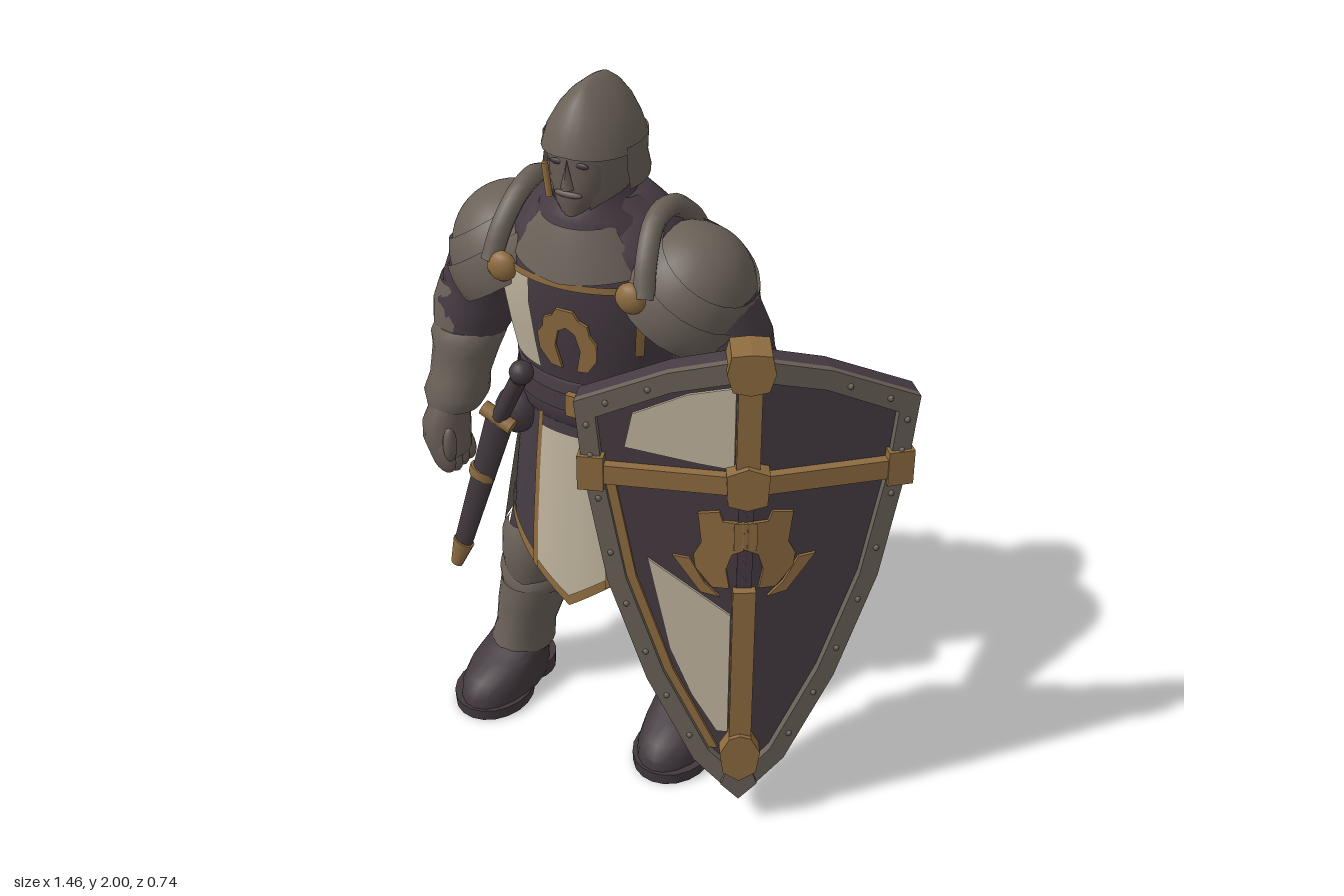
import * as THREE from 'three';
import { toCreasedNormals } from 'three/addons/utils/BufferGeometryUtils.js';

const paint = (name, color) => {
  const m = new THREE.MeshStandardMaterial({ color, side: THREE.DoubleSide });
  m.name = name;
  return m;
};
const steel = paint('steel', 0x6a6158);
const cloth = paint('purple cloth', 0x463b43);
const cream = paint('cream cloth', 0xbfb39d);
const brass = paint('brass', 0x8e6c40);
const skin = paint('skin', 0x665a53);
const leather = paint('dark leather', 0x42383d);
const CX = -0.2; // body centre line
const TAU = Math.PI * 2;

export function createModel() {
  const model = new THREE.Group();
  model.name = 'knight';

  const add = (name, geo, mat, parent = model) => {
    const mesh = new THREE.Mesh(geo, mat);
    mesh.name = name;
    parent.add(mesh);
    return mesh;
  };

  // Skin over rings listed top to bottom: [y, cx, cz, rx, rz, dip, power]; angle 0 is the front.
  // The dip lowers the ring in a V at the front and back; a power below 1 makes the ring boxy.
  const loft = (name, mat, rings, a0 = 0, a1 = TAU, n = 28) => {
    const full = a1 - a0 > 6.28;
    const end = (r) => [r[0], r[1], r[2], 0, 0];
    const rs = full ? [end(rings[0]), ...rings, end(rings[rings.length - 1])] : rings;
    const pos = [], idx = [];
    const bend = (v, e) => Math.sign(v) * Math.abs(v) ** e;
    rs.forEach(([y, cx, cz, rx, rz, dip = 0, e = 1], i) => {
      for (let j = 0; j <= n; j++) {
        const a = a0 + ((a1 - a0) * j) / n, c = Math.cos(a), s = Math.sin(a);
        pos.push(cx + rx * bend(s, e), y + dip * (c < 0 ? -c : 1 - Math.abs(s)), cz + rz * bend(c, e));
        if (i < rs.length - 1 && j < n) {
          const p = i * (n + 1) + j, q = p + n + 1;
          idx.push(p, q, p + 1, q, q + 1, p + 1);
        }
      }
    });
    const g = new THREE.BufferGeometry();
    g.setAttribute('position', new THREE.Float32BufferAttribute(pos, 3));
    g.setIndex(idx);
    return add(name, toCreasedNormals(g, 0.75), mat);
  };
  // Rings on the body centre line: [y, cz, rx, rz, dip, power], grown by an offset
  const bodyRings = (rows, grow = 0) => rows.map(([y, cz, rx, rz, ...rest]) => [y, CX, cz, rx + grow, rz + grow, ...rest]);

  // Flat plate from outline points, s = -1 mirrors it
  const plate = (name, mat, pts, z0, z1, s, parent) => {
    const shape = new THREE.Shape(pts.map(([u, y]) => new THREE.Vector2(u * s, y)));
    const g = new THREE.ExtrudeGeometry(shape, { depth: z1 - z0, bevelEnabled: false });
    return add(name, g.translate(0, 0, z0), mat, parent);
  };
  const ball = (name, mat, x, y, z, rx, ry = rx, rz = rx) => {
    const m = add(name, new THREE.SphereGeometry(1, 14, 10), mat);
    m.position.set(x, y, z);
    m.scale.set(rx, ry, rz);
    return m;
  };
  const rod = (name, mat, a, b, r0, r1, flat = 1) => {
    const A = new THREE.Vector3(...a), B = new THREE.Vector3(...b), d = B.clone().sub(A);
    const m = add(name, new THREE.CylinderGeometry(r1, r0, d.length(), 10), mat);
    m.position.copy(A).add(B).multiplyScalar(0.5);
    m.quaternion.setFromUnitVectors(new THREE.Vector3(0, 1, 0), d.normalize());
    m.scale.z = flat;
    return m;
  };

  // Head and helmet
  loft('face', skin, bodyRings([[1.87, -0.03, 0.09, 0.085], [1.8, -0.03, 0.093, 0.09], [1.75, -0.03, 0.088, 0.096], [1.7, -0.03, 0.068, 0.098], [1.65, -0.03, 0.035, 0.085]]));
  const nose = add('nose', new THREE.ConeGeometry(0.02, 0.08, 4), skin);
  nose.position.set(CX, 1.79, 0.064);
  for (const s of [-1, 1]) ball('eyeHollow', leather, CX + s * 0.036, 1.815, 0.052, 0.02, 0.008, 0.006);
  ball('moustache', skin, CX, 1.735, 0.06, 0.04, 0.01, 0.012);
  loft('mailHood', steel, bodyRings([[1.85, -0.08, 0.118, 0.135], [1.77, -0.08, 0.115, 0.135], [1.72, -0.07, 0.1, 0.13], [1.675, -0.065, 0.08, 0.125]]), 0.6, TAU - 0.6);
  rod('helmetStrap', brass, [CX - 0.075, 1.8, 0.046], [CX - 0.062, 1.71, 0.048], 0.009, 0.009);
  loft('helmetDome', steel, bodyRings([[2.0, -0.085, 0.006, 0.025], [1.99, -0.085, 0.024, 0.065], [1.965, -0.085, 0.055, 0.1], [1.93, -0.085, 0.085, 0.127], [1.88, -0.083, 0.114, 0.15], [1.83, -0.083, 0.13, 0.16, 0.01]]));
  loft('helmetNeckGuard', steel, bodyRings([[1.85, -0.085, 0.131, 0.157], [1.79, -0.085, 0.13, 0.15], [1.75, -0.088, 0.137, 0.156], [1.735, -0.088, 0.136, 0.155]]), 1.2, TAU - 1.2);
  loft('coif', cloth, bodyRings([[1.73, -0.08, 0.1, 0.115], [1.68, -0.075, 0.115, 0.13], [1.66, -0.08, 0.145, 0.15], [1.62, -0.09, 0.165, 0.16], [1.59, -0.1, 0.2, 0.18], [1.52, -0.11, 0.23, 0.2]]));
  loft('gorget', steel, bodyRings([[1.65, -0.07, 0.125, 0.145], [1.6, -0.08, 0.17, 0.175], [1.53, -0.095, 0.215, 0.215, -0.02]], 0.008), -0.95, 0.95);

  // Torso with a tabard over the front
  const chest = [[1.5, -0.11, 0.265, 0.213], [1.42, -0.11, 0.268, 0.213], [1.3, -0.115, 0.25, 0.2], [1.19, -0.12, 0.23, 0.185]];
  loft('torso', cloth, bodyRings([[1.7, -0.11, 0.13, 0.11], [1.65, -0.12, 0.19, 0.14], [1.59, -0.115, 0.245, 0.19], ...chest, [1.0, -0.12, 0.225, 0.17], [0.75, -0.13, 0.2, 0.17]]));
  loft('backPlate', steel, bodyRings([[1.58, -0.115, 0.25, 0.195], ...chest], 0.012), 1.25, TAU - 1.25);
  loft('backPlateRidge', steel, bodyRings([[1.4, -0.11, 0.268, 0.213], [1.37, -0.11, 0.272, 0.22], [1.35, -0.112, 0.255, 0.204]], 0.012), 1.8, TAU - 1.8);
  loft('tabardChest', cloth, bodyRings(chest, 0.012), -1.3, 1.3);
  loft('creamChestPanel', cream, bodyRings(chest.slice(0, 3).concat([[1.21, -0.12, 0.234, 0.188]]), 0.017), -0.9, -0.36, 8);
  loft('chestTrim', brass, bodyRings([[1.515, -0.11, 0.265, 0.213], [1.495, -0.11, 0.266, 0.214]], 0.02), -0.7, 0.75);
  loft('chestSideTrim', brass, bodyRings(chest.slice(0, 3), 0.019), 0.74, 0.84, 2);

  // Emblem made of a mirrored half
  const castle = [[0, 0.925], [0.03, 0.91], [0.045, 0.86], [0.035, 0.8], [0.08, 0.8], [0.125, 0.86], [0.13, 0.9], [0.11, 0.94], [0.12, 1.03], [0.065, 1.04], [0.055, 1.01], [0, 1.01]];
  const wing = [[0.06, 0.77], [0.11, 0.78], [0.185, 0.89], [0.14, 0.885], [0.1, 0.81]];
  const horseshoe = [[0, 0.045], [0.025, 0.03], [0.038, -0.02], [0.022, -0.09], [0.055, -0.085], [0.085, -0.04], [0.088, 0.01], [0.07, 0.035], [0.065, 0.065], [0.04, 0.075], [0.025, 0.1], [0, 0.1]];
  const badge = new THREE.Group();
  badge.name = 'chestEmblem';
  badge.position.set(CX + 0.015, 1.335, 0.098);
  badge.rotation.x = 0.12;
  model.add(badge);
  for (const s of [-1, 1]) plate('emblemHalf', brass, horseshoe, 0.006, 0.014, s, badge);

  // Sash, buckle and pouches
  loft('sash', cloth, bodyRings([[1.2, -0.12, 0.235, 0.185], [1.18, -0.12, 0.25, 0.198], [1.135, -0.12, 0.244, 0.192], [1.11, -0.12, 0.255, 0.203], [1.06, -0.12, 0.25, 0.198], [1.04, -0.12, 0.235, 0.185]]));
  loft('belt', leather, bodyRings([[1.15, -0.12, 0.25, 0.2], [1.1, -0.12, 0.258, 0.206]]), -1.6, 1.6);
  const buckle = add('buckle', new THREE.BoxGeometry(0.07, 0.065, 0.02), brass);
  buckle.position.set(CX + 0.03, 1.125, 0.085);
  for (const [x, z] of [[-0.4, 0.03], [-0.04, 0.04], [0.03, -0.02], [-0.42, -0.18]]) ball('pouch', cloth, x, 1.02, z, 0.06, 0.07, 0.05);
  rod('backToggle', steel, [-0.3, 1.06, -0.325], [-0.25, 1.05, -0.33], 0.016, 0.016);

  // Skirt: steel-grey back, purple and cream front with brass hem
  loft('backSkirt', steel, bodyRings([[1.06, -0.12, 0.235, 0.18], [0.9, -0.125, 0.257, 0.19, 0, 0.85], [0.74, -0.13, 0.275, 0.212, 0, 0.7], [0.6, -0.13, 0.292, 0.235, -0.13, 0.65]]), 1.2, TAU - 1.2);
  const flap = [[1.06, -0.12, 0.235, 0.185], [0.9, -0.12, 0.255, 0.198], [0.75, -0.12, 0.27, 0.212, -0.06], [0.68, -0.12, 0.275, 0.222, -0.21]];
  loft('frontSkirt', cloth, bodyRings(flap), -1.4, 1.4);
  loft('skirtHem', brass, bodyRings([[0.71, -0.12, 0.274, 0.22, -0.205], [0.675, -0.12, 0.276, 0.223, -0.21]], 0.006), -1.35, 1.35);
  loft('creamSkirtPanel', cream, bodyRings([[1.02, -0.12, 0.24, 0.19], flap[1], flap[2], [0.705, -0.12, 0.275, 0.222, -0.205]], 0.009), -0.4, 0.4, 12);
  for (const s of [-1, 1]) loft('skirtPanelTrim', brass, bodyRings(flap, 0.011), s * 0.425 - 0.035, s * 0.425 + 0.035, 2);

  // Sword in its scabbard on the right hip
  rod('scabbard', leather, [-0.56, 0.54, 0.1], [-0.4, 1.04, 0.11], 0.027, 0.042, 0.6);
  rod('scabbardTip', brass, [-0.58, 0.48, 0.1], [-0.55, 0.57, 0.1], 0.018, 0.033, 0.7);
  rod('scabbardBand', brass, [-0.475, 0.82, 0.105], [-0.467, 0.85, 0.106], 0.04, 0.04, 0.65);
  rod('swordGuard', brass, [-0.45, 1.06, 0.115], [-0.36, 1.02, 0.115], 0.022, 0.022);
  rod('swordGrip', leather, [-0.4, 1.04, 0.115], [-0.335, 1.18, 0.115], 0.024, 0.024);
  ball('pommel', leather, -0.325, 1.205, 0.115, 0.034);

  for (const s of [-1, 1]) {
    const X = (off) => CX + s * off;
    const stance = s > 0 ? 0.02 : 0;
    const limb = (name, mat, rows, a0, a1) =>
      loft(name, mat, rows.map(([y, off, cz, rx, rz, dip]) => [y, X(off) + stance, cz, rx, rz, dip]), a0, a1, 20);

    // Leg, knee plate, greave and boot
    limb('leg', cloth, [[0.95, 0.11, -0.12, 0.1, 0.13], [0.72, 0.145, -0.12, 0.108, 0.135], [0.62, 0.175, -0.12, 0.115, 0.143], [0.57, 0.193, -0.12, 0.11, 0.13], [0.5, 0.205, -0.11, 0.1, 0.12], [0.4, 0.215, -0.11, 0.1, 0.12], [0.3, 0.235, -0.095, 0.09, 0.11], [0.15, 0.27, -0.08, 0.075, 0.095]]);
    limb('kneePlate', steel, [[0.58, 0.2, -0.11, 0.1, 0.125, 0.025], [0.545, 0.205, -0.11, 0.116, 0.14, 0.02], [0.48, 0.21, -0.11, 0.112, 0.145], [0.43, 0.215, -0.11, 0.108, 0.125, -0.03]], -1.4, 1.4);
    limb('greaveCuff', steel, [[0.44, 0.22, -0.125, 0.11, 0.135, -0.04], [0.41, 0.222, -0.125, 0.122, 0.145, -0.04], [0.375, 0.225, -0.125, 0.118, 0.138, -0.03], [0.36, 0.23, -0.12, 0.1, 0.12, -0.02]]);
    limb('greave', steel, [[0.38, 0.228, -0.1, 0.1, 0.125], [0.3, 0.24, -0.09, 0.098, 0.118], [0.2, 0.262, -0.085, 0.086, 0.103], [0.13, 0.272, -0.08, 0.094, 0.11, 0.02]], -1.9, 1.9);
    limb('boot', leather, [[0.2, 0.27, -0.085, 0.08, 0.092], [0.15, 0.275, -0.08, 0.088, 0.1], [0.125, 0.28, -0.05, 0.092, 0.13], [0.1, 0.286, -0.01, 0.098, 0.168], [0.065, 0.288, 0.003, 0.106, 0.187], [0.03, 0.288, 0.005, 0.108, 0.19]]);
    limb('toeSole', leather, [[0.035, 0.292, 0.065, 0.114, 0.137], [0, 0.292, 0.065, 0.112, 0.135]]);
    limb('heel', leather, [[0.05, 0.28, -0.1, 0.092, 0.093], [0, 0.28, -0.1, 0.09, 0.092]]);

    // Shoulder plates in overlapping bands
    const pauldron = new THREE.Group();
    pauldron.name = 'shoulderPlates';
    pauldron.position.set(X(0.25), 1.435, -0.11);
    pauldron.rotation.z = -s * 0.6;
    model.add(pauldron);
    [[0, 1.1, 1], [0.9, 1.4, 1.04], [1.25, 1.75, 1.1]].forEach(([t0, t1, k]) => {
      add('shoulderBand', new THREE.SphereGeometry(1, 24, 8, 0, TAU, t0, t1 - t0), steel, pauldron).scale.set(0.18 * k, 0.2 * k, 0.185 * k);
    });
    const arc = [[0.225, 1.5, 0.08], [0.212, 1.59, 0.04], [0.198, 1.66, -0.03], [0.198, 1.67, -0.12], [0.21, 1.61, -0.21], [0.222, 1.51, -0.275]];
    const path = new THREE.CatmullRomCurve3(arc.map(([o, y, z]) => new THREE.Vector3(X(o), y, z)));
    add('shoulderFlange', new THREE.TubeGeometry(path, 20, 0.03, 8), steel);
    ball('frontClasp', brass, X(0.19), 1.495, 0.085, 0.043, 0.043, 0.028);
    ball('backClasp', brass, X(0.21), 1.51, -0.295, 0.04, 0.045, 0.028);
  }

  // Right arm hanging, left arm reaching to the shield
  const arm = (name, mat, rows, a0, a1) => loft(name, mat, rows.map(([y, x, z, r]) => [y, x, z, r, r]), a0, a1, 18);
  arm('rightSleeve', cloth, [[1.46, -0.52, -0.11, 0.12], [1.35, -0.56, -0.12, 0.125], [1.31, -0.575, -0.12, 0.116], [1.27, -0.59, -0.12, 0.125], [1.21, -0.6, -0.11, 0.112], [1.17, -0.61, -0.1, 0.1], [1.02, -0.625, -0.05, 0.075]]);
  arm('rightElbowPlate', steel, [[1.32, -0.585, -0.13, 0.12], [1.25, -0.6, -0.13, 0.13], [1.18, -0.613, -0.11, 0.112]], Math.PI, TAU);
  arm('rightForearmPlate', steel, [[1.19, -0.612, -0.095, 0.1], [1.16, -0.614, -0.085, 0.107], [1.12, -0.617, -0.075, 0.096], [1.04, -0.627, -0.05, 0.086], [0.99, -0.632, -0.035, 0.094], [0.95, -0.637, -0.025, 0.078]]);
  loft('rightHand', skin, [[0.98, -0.637, -0.02, 0.055, 0.065], [0.91, -0.65, 0.0, 0.064, 0.08], [0.86, -0.645, 0.01, 0.064, 0.08], [0.82, -0.63, 0.02, 0.055, 0.07]], 0, TAU, 14);
  for (let i = 0; i < 4; i++) ball('finger', skin, -0.625, 0.81 + (i === 3 ? 0.015 : 0), -0.04 + i * 0.036, 0.038, 0.06, 0.021).rotation.z = 0.35;
  ball('thumb', skin, -0.595, 0.87, 0.075, 0.02, 0.055, 0.022);
  arm('leftSleeve', cloth, [[1.46, 0.12, -0.11, 0.12], [1.35, 0.16, -0.12, 0.126], [1.3, 0.18, -0.12, 0.115], [1.25, 0.2, -0.11, 0.118], [1.18, 0.22, -0.08, 0.105], [1.1, 0.25, -0.01, 0.088], [1.01, 0.29, 0.07, 0.068]]);
  arm('leftForearmPlate', steel, [[1.27, 0.195, -0.11, 0.122], [1.18, 0.222, -0.075, 0.11], [1.09, 0.255, 0.0, 0.092], [1.02, 0.285, 0.06, 0.078]], 0.6, 2.2);
  ball('leftHand', leather, 0.295, 0.98, 0.1, 0.055, 0.085, 0.065);

  // Shield: two flat halves folded along a central ridge
  const shield = new THREE.Group();
  shield.name = 'shield';
  shield.position.set(0.38, 0, 0.2);
  model.add(shield);
  const outer = [[0, 1.5], [0.2, 1.445], [0.435, 1.34], [0.415, 1.14], [0.355, 0.8], [0.25, 0.48], [0.12, 0.21], [0, 0.09]];
  const inner = [[0, 1.44], [0.19, 1.39], [0.38, 1.3], [0.365, 1.14], [0.305, 0.81], [0.205, 0.51], [0.08, 0.25], [0, 0.17]];
  const rect = (u, y, w, h) => [[u, y], [u + w, y], [u + w, y + h], [u, y + h]];
  for (const [s, turn] of [[-1, 0.315], [1, 0.707]]) {
    const half = new THREE.Group();
    half.name = s < 0 ? 'rightShieldHalf' : 'leftShieldHalf';
    half.rotation.y = turn;
    shield.add(half);
    const put = (name, mat, pts, z0, z1) => plate(name, mat, pts, z0, z1, s, half);
    put('shieldBoard', cloth, outer, -0.025, 0.014);
    put('shieldBackRim', cloth, [...outer, ...inner.slice().reverse()], -0.037, -0.02);
    put('shieldRim', steel, [...outer, ...inner.slice().reverse()], 0.014, 0.035);
    put('shieldCrossBand', brass, rect(0, 1.105, 0.4, 0.055), 0.014, 0.04);
    put('shieldEndBoss', brass, rect(0.36, 1.085, 0.068, 0.1), -0.041, 0.045);
    put('shieldCastle', brass, castle, 0.014, 0.023);
    put('shieldWing', brass, wing, 0.014, 0.022);
    if (s < 0) {
      put('creamUpperField', cream, [[0.03, 1.41], [0.15, 1.38], [0.29, 1.31], [0.31, 1.21], [0.12, 1.18], [0.03, 1.17]], 0.014, 0.021);
      put('creamLowerField', cream, [[0.25, 0.87], [0.03, 0.71], [0.03, 0.31], [0.06, 0.31], [0.13, 0.43], [0.19, 0.58]], 0.014, 0.021);
      const edge = inner.slice(3, 7);
      put('innerTrim', brass, [...edge, ...edge.map(([u, y]) => [u - 0.025, y]).reverse()], 0.014, 0.023);
    }
    // Rivets spaced along the rim
    for (let i = 1; i < 6; i++) for (const t of [0.25, 0.75]) {
      const mid = (k, c) => (outer[k][c] + inner[k][c]) / 2;
      const r = add('rivet', new THREE.SphereGeometry(0.009, 6, 5), steel, half);
      r.position.set(s * THREE.MathUtils.lerp(mid(i, 0), mid(i + 1, 0), t), THREE.MathUtils.lerp(mid(i, 1), mid(i + 1, 1), t), 0.034);
    }
  }
  // Central ridge with its bosses, open where the emblem sits
  const ridge = new THREE.Group();
  ridge.name = 'shieldRidge';
  ridge.rotation.y = 0.51;
  shield.add(ridge);
  for (const s of [-1, 1]) {
    plate('ridgeCore', cloth, rect(0, 0.2, 0.02, 1.25), -0.01, 0.0135, s, ridge);
    plate('lowerRidgeBand', brass, rect(0, 0.2, 0.03, 0.6), 0, 0.036, s, ridge);
    plate('upperRidgeBand', brass, rect(0, 1.1, 0.03, 0.38), 0, 0.036, s, ridge);
    plate('emblemCentre', brass, rect(0, 0.926, 0.03, 0.083), 0, 0.0215, s, ridge);
    plate('topBoss', brass, [[0, 1.41], [0.045, 1.42], [0.06, 1.47], [0.05, 1.52], [0, 1.525]], -0.045, 0.052, s, ridge);
    plate('centreBoss', brass, [[0, 1.07], [0.05, 1.085], [0.055, 1.175], [0, 1.195]], 0, 0.052, s, ridge);
    plate('bottomBoss', brass, [[0, 0.16], [0.045, 0.19], [0.055, 0.26], [0.03, 0.31], [0, 0.32]], 0, 0.048, s, ridge);
    plate('shieldTip', steel, [[0, 0.085], [0.05, 0.14], [0.03, 0.2], [0, 0.2]], -0.035, 0.038, s, ridge);
  }
  return model;
}
